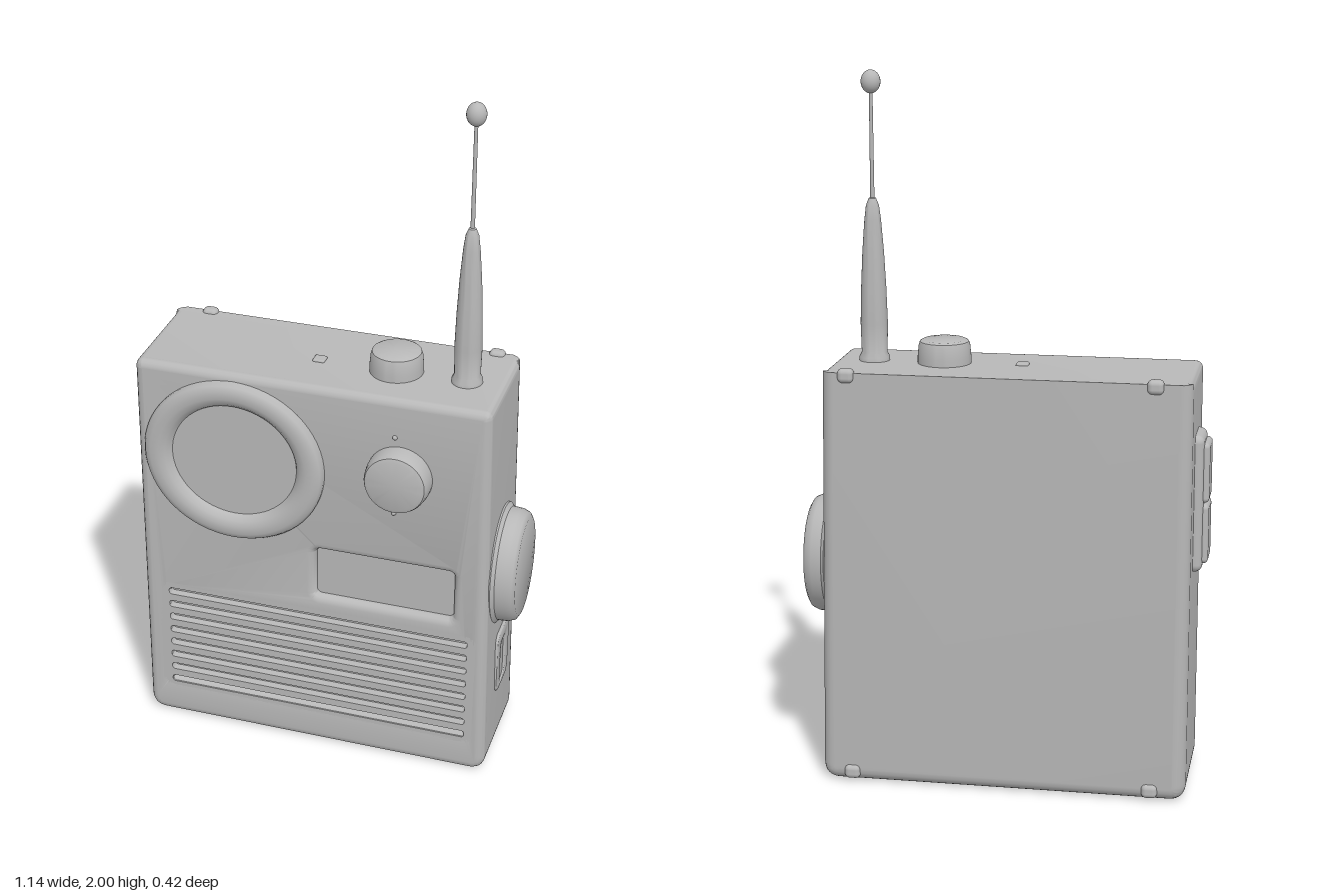
import * as THREE from 'three';
import { toCreasedNormals } from 'three/addons/utils/BufferGeometryUtils.js';
import { RoundedBoxGeometry } from 'three/addons/geometries/RoundedBoxGeometry.js';

const TOP = 1.195, FLOOR = 0.126, FRONT = 0.15;

export function createModel() {
  const model = new THREE.Group();
  model.name = 'portableRadio';
  const grey = new THREE.MeshStandardMaterial({ color: 0xb8b8b8 });
  grey.name = 'plain grey';

  const add = (name, geometry, x = 0, y = 0, z = 0, parent = model) => {
    const mesh = new THREE.Mesh(geometry, grey);
    mesh.name = name;
    mesh.position.set(x, y, z);
    parent.add(mesh);
    return mesh;
  };
  const lathe = (points, segments = 48) =>
    toCreasedNormals(new THREE.LatheGeometry(points.map(([r, h]) => new THREE.Vector2(r, h)), segments), 0.7);
  const extrude = (shape, depth, bevel = 0) => toCreasedNormals(new THREE.ExtrudeGeometry(shape, {
    depth, bevelEnabled: bevel > 0, bevelSize: bevel, bevelThickness: bevel,
    bevelOffset: -bevel, bevelSegments: 4, curveSegments: 10,
  }), 0.7);

  // Rounded rectangle between two corners
  const rounded = (x0, y0, x1, y1, r, Type = THREE.Path) => {
    const p = new Type();
    p.absarc(x1 - r, y0 + r, r, -Math.PI / 2, 0);
    p.absarc(x1 - r, y1 - r, r, 0, Math.PI / 2);
    p.absarc(x0 + r, y1 - r, r, Math.PI / 2, Math.PI);
    p.absarc(x0 + r, y0 + r, r, Math.PI, Math.PI * 1.5);
    p.closePath();
    return p;
  };

  // Case outline: slightly narrower at the top, softer corners at the bottom
  const outline = () => {
    const s = new THREE.Shape();
    s.moveTo(-0.48, 0);
    s.lineTo(0.46, 0);
    s.quadraticCurveTo(0.508, 0, 0.508, 0.05);
    s.lineTo(0.49, TOP - 0.025);
    s.quadraticCurveTo(0.49, TOP, 0.465, TOP);
    s.lineTo(-0.505, TOP);
    s.quadraticCurveTo(-0.53, TOP, -0.53, TOP - 0.025);
    s.lineTo(-0.53, 0.05);
    s.quadraticCurveTo(-0.53, 0, -0.48, 0);
    return s;
  };

  // Case: rounded at the back, flat in front behind the face plate
  const raw = new THREE.ExtrudeGeometry(outline(), {
    depth: 0.28, bevelSize: 0.035, bevelThickness: 0.035, bevelOffset: -0.035, bevelSegments: 5, curveSegments: 10,
  });
  raw.translate(0, 0, -0.165);
  const pos = raw.attributes.position;
  for (let i = 0; i < pos.count; i++) {
    const z = pos.getZ(i), y = pos.getY(i);
    if (z > 0) pos.setZ(i, FLOOR);
    else if (z < -0.166 && y > 1.1) pos.setY(i, Math.min(TOP, y + 0.035));
  }
  add('case', toCreasedNormals(raw, 0.6));

  // Face plate with the sunken display and an opening for the grille
  const face = outline();
  face.holes.push(rounded(-0.005, 0.515, 0.4, 0.67, 0.015));
  face.holes.push(rounded(-0.455, 0.125, 0.445, 0.44, 0.01));
  add('facePlate', extrude(face, 0.002, 0.024), 0, 0, FLOOR - 0.002);

  // Slotted grille panel
  const grille = rounded(-0.484, 0.096, 0.474, 0.469, 0.03, THREE.Shape);
  for (let i = 0; i < 8; i++) {
    const y = 0.125 + i * 0.045;
    grille.holes.push(rounded(-0.455, y - 0.011, 0.447, y + 0.011, 0.009));
  }
  add('grille', extrude(grille, FRONT - FLOOR), 0, 0, FLOOR);

  // Speaker ring with a flat disc inside
  const speaker = add('speaker', lathe([
    [0.265, -0.01], [0.265, 0.01], [0.258, 0.021], [0.242, 0.028], [0.218, 0.028],
    [0.2, 0.022], [0.188, 0.01], [0.184, 0.003], [0, 0.003],
  ], 64), -0.24, 0.925, FRONT);
  speaker.rotation.x = Math.PI / 2;
  speaker.scale.z = 0.94;

  // Knobs
  const knob = (r, h) => lathe([
    [r, -0.01], [r, h * 0.3], [r * 0.96, h * 0.75], [r * 0.91, h * 0.93], [r * 0.8, h], [0, h],
  ]);
  add('frontKnob', knob(0.093, 0.057), 0.24, 0.96, FRONT).rotation.x = Math.PI / 2;
  add('topKnob', knob(0.075, 0.066), 0.18, TOP, -0.015);
  for (const y of [1.08, 0.84]) add('knobMark', new THREE.SphereGeometry(0.007, 10, 8), 0.225, y, FRONT);
  add('topBump', new RoundedBoxGeometry(0.035, 0.012, 0.035, 2, 0.005), -0.04, TOP, -0.01);

  // Antenna: flared foot, tapered sleeve, thin rod and ball tip
  const antenna = new THREE.Group();
  antenna.name = 'antenna';
  antenna.position.set(0.38, 0, -0.013);
  model.add(antenna);
  add('antennaSleeve', lathe([
    [0.043, 1.185], [0.043, 1.205], [0.036, 1.218], [0.038, 1.3], [0.035, 1.4], [0.03, 1.5],
    [0.023, 1.59], [0.018, 1.63], [0.01, 1.65], [0, 1.655],
  ], 32), 0, 0, 0, antenna);
  add('antennaRod', new THREE.CylinderGeometry(0.005, 0.006, 0.31, 12), 0, 1.795, 0, antenna);
  add('antennaTip', new THREE.SphereGeometry(0.027, 24, 16), 0, 1.968, 0, antenna).scale.y = 1.19;

  // Oval dial on the left side
  const dial = add('sideDial', lathe([
    [0.185, -0.012], [0.183, 0.006], [0.172, 0.016], [0.17, 0.045], [0.162, 0.063], [0.148, 0.071], [0, 0.071],
  ], 56), 0.495, 0.625, -0.02);
  dial.rotation.z = -Math.PI / 2;
  dial.scale.z = 0.83;

  // Arched clip and seam below the dial
  const clip = rounded(-0.035, 0.2, 0.1, 0.4, 0.03, THREE.Shape);
  clip.holes.push(rounded(0.005, 0.215, 0.06, 0.36, 0.02));
  add('sideClip', extrude(clip, 0.012, 0.004), 0.495, 0, 0).rotation.y = Math.PI / 2;
  add('sideSeam', new THREE.BoxGeometry(0.006, 0.2, 0.006), 0.503, 0.13, -0.095);

  // Push-to-talk button pair on the right side
  const side = new THREE.Group();
  side.name = 'sideButtons';
  side.position.set(-0.53, 0.835, -0.027);
  model.add(side);
  add('buttonFrame', new RoundedBoxGeometry(0.05, 0.39, 0.135, 4, 0.022), 0, 0, 0, side);
  for (const s of [-1, 1])
    add('pushButton', new RoundedBoxGeometry(0.05, 0.17, 0.105, 4, 0.014), -0.015, s * 0.087, 0, side);

  // Small lugs at the corners of the back
  for (const x of [-0.43, 0.42])
    for (const y of [TOP - 0.008, 0.03])
      add('backLug', new RoundedBoxGeometry(0.045, 0.04, 0.036, 3, 0.014), x, y, -0.193);

  return model;
}
